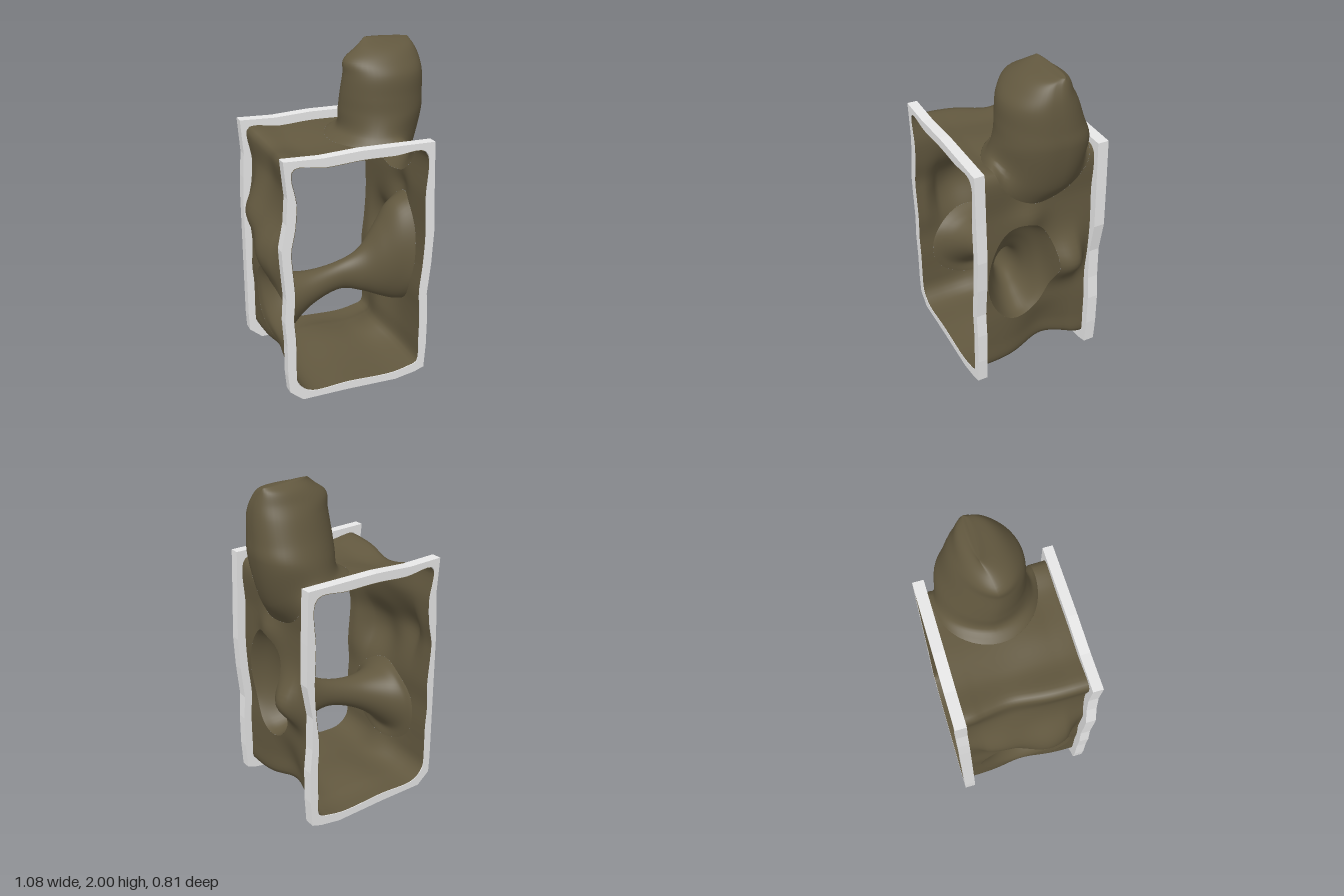
import * as THREE from 'three';

const skinMat = new THREE.MeshStandardMaterial({ color: 0x62583f, side: THREE.DoubleSide });
skinMat.name = 'olive brown skin';
const frameMat = new THREE.MeshStandardMaterial({ color: 0xebebeb });
frameMat.name = 'light grey frame';

// Wavy frame outline, counter-clockwise from the bottom right corner
const OUTLINE = [
  [0.41, 0.04], [0.42, 0.2], [0.42, 0.4], [0.41, 0.55], [0.43, 0.75], [0.44, 0.95], [0.43, 1.2], [0.42, 1.5],
  [0.2, 1.505], [-0.02, 1.51], [-0.25, 1.5], [-0.47, 1.51],
  [-0.45, 1.3], [-0.46, 1.15], [-0.49, 1.0], [-0.485, 0.9], [-0.47, 0.7], [-0.48, 0.55], [-0.47, 0.4], [-0.47, 0.2],
  [-0.46, 0.09], [-0.38, 0.02], [-0.1, 0.015], [0.22, 0.0], [0.35, 0.02],
];
const inset = (pts, d) => pts.map(([x, y]) => [
  (x + 0.025) * (1 - d / 0.45) - 0.025, 0.755 + (y - 0.755) * (1 - d / 0.75),
]);

// Soft pushes on the wall: centre x, y, z, push x, y, radius
const PUSHES = [
  [-0.45, 1.02, -0.17, -0.065, 0, 0.16],
  [-0.45, 0.86, 0.13, -0.115, 0, 0.2],
  [0.39, 0.76, -0.19, 0.12, 0, 0.14],
  [0.39, 1.12, 0.06, 0.04, 0, 0.1],
  [0.38, 0.3, -0.05, -0.03, 0, 0.14],
  [-0.42, 1.43, -0.08, 0.04, -0.04, 0.17],
  [0.37, 0.1, -0.08, -0.05, 0.05, 0.17],
  [-0.43, 0.1, 0.0, 0.03, 0.02, 0.15],
  [0.0, 0.08, -0.1, 0, 0.03, 0.22],
  [-0.2, 1.44, 0.05, 0, -0.025, 0.2],
  [0.15, 1.45, 0.27, 0, -0.02, 0.2],
];

const toCurve = (pts) => {
  const curve = new THREE.CatmullRomCurve3(pts.map(([x, y]) => new THREE.Vector3(x, y, 0)), true, 'centripetal');
  curve.arcLengthDivisions = 600;
  return curve;
};
const loop = toCurve(inset(OUTLINE, 0.055));

// Point of the tunnel wall at u around the section and depth z
function wallPoint(u, z) {
  const base = loop.getPointAt(((u % 1) + 1) % 1);
  const p = new THREE.Vector3(base.x, base.y, z);
  const hold = THREE.MathUtils.clamp((0.34 - Math.abs(z)) / 0.1, 0, 1);
  for (const [x, y, pz, dx, dy, r] of PUSHES) {
    const d2 = (base.x - x) ** 2 + (base.y - y) ** 2 + (z - pz) ** 2;
    const k = Math.exp(-d2 / (r * r)) * hold;
    p.x += dx * k;
    p.y += dy * k;
  }
  return p;
}

// Position around the section closest to (x, y)
function findU(x, y) {
  let best = 0, min = Infinity;
  for (let i = 0; i < 500; i++) {
    const p = loop.getPointAt(i / 500);
    const d = (p.x - x) ** 2 + (p.y - y) ** 2;
    if (d < min) { min = d; best = i / 500; }
  }
  return best;
}

// Elliptical mouth in the wall between two section points
function mouth(from, to, z, rz) {
  const a = findU(...from), b = findU(...to);
  return { u: (a + b) / 2, ru: (b - a) / 2, z, rz };
}
const rightMouth = mouth([0.37, 0.39], [0.38, 1.09], 0.1, 0.21);
const chimneyMouth = mouth([0.38, 1.2], [-0.04, 1.45], -0.035, 0.3);
const leftMouth = mouth([-0.43, 0.7], [-0.42, 0.18], 0.02, 0.3);
const MOUTHS = [rightMouth, chimneyMouth, leftMouth];

const SIDES = 48;
const mouthRing = (m, flip = 1) => Array.from({ length: SIDES }, (_, i) => {
  const a = (i / SIDES) * Math.PI * 2;
  return wallPoint(m.u + flip * m.ru * Math.cos(a), m.z + m.rz * Math.sin(a));
});

function indexed(points, index) {
  const g = new THREE.BufferGeometry().setFromPoints(points);
  g.setIndex(index);
  g.computeVertexNormals();
  return g;
}

// Tunnel wall grid, with vertices inside a mouth snapped to its rim
function tunnelWall() {
  const nu = 144, nz = 40, pts = [], owner = [], index = [];
  for (let j = 0; j <= nz; j++) for (let i = 0; i < nu; i++) {
    let u = i / nu, z = -0.406 + (0.811 * j) / nz, own = -1;
    MOUTHS.forEach((m, k) => {
      const du = (u - m.u) / m.ru, dz = (z - m.z) / m.rz, r = Math.hypot(du, dz);
      if (r < 1 && own < 0) {
        const s = 1 / Math.max(r, 1e-4);
        u = m.u + du * s * m.ru;
        z = m.z + dz * s * m.rz;
        own = k;
      }
    });
    pts.push(wallPoint(u, z));
    owner.push(own);
  }
  for (let j = 0; j < nz; j++) for (let i = 0; i < nu; i++) {
    const a = j * nu + i, b = j * nu + ((i + 1) % nu), c = a + nu, d = b + nu;
    for (const t of [[a, b, d], [a, d, c]]) {
      if (!t.every((v) => owner[v] >= 0)) index.push(...t);
    }
  }
  return indexed(pts, index);
}

// Smooth skin through a few rings, subdivided along splines
function loft(rings, steps, capEnd) {
  const curves = Array.from({ length: SIDES }, (_, i) =>
    new THREE.CatmullRomCurve3(rings.map((r) => r[i]), false, 'centripetal'));
  const pts = [], index = [];
  for (let j = 0; j <= steps; j++) for (const c of curves) pts.push(c.getPoint(j / steps));
  for (let j = 0; j < steps; j++) for (let i = 0; i < SIDES; i++) {
    const n = (i + 1) % SIDES, a = j * SIDES + i, b = j * SIDES + n;
    index.push(a, b, b + SIDES, a, b + SIDES, a + SIDES);
  }
  if (capEnd) {
    const s = steps * SIDES;
    for (let i = 1; i < SIDES - 1; i++) index.push(s, s + i, s + i + 1);
  }
  return indexed(pts, index);
}

const ring = (fn) => Array.from({ length: SIDES }, (_, i) => {
  const a = (i / SIDES) * Math.PI * 2;
  return new THREE.Vector3(...fn(Math.cos(a), Math.sin(a)));
});

// Hollow cross tube: x, lowest y, highest y, centre z, half width in z
function crossTube() {
  const sections = [
    [0.31, 0.4, 1.03, 0.1, 0.175], [0.23, 0.43, 0.9, 0.09, 0.135], [0.13, 0.47, 0.75, 0.07, 0.09],
    [0.0, 0.5, 0.68, 0.05, 0.065], [-0.2, 0.43, 0.645, 0.04, 0.1], [-0.34, 0.325, 0.655, 0.03, 0.18],
    [-0.4, 0.255, 0.67, 0.025, 0.25],
  ].map(([x, lo, hi, z, rz]) =>
    ring((c, s) => [x, (lo + hi) / 2 + ((hi - lo) / 2) * c, z + rz * s]));
  return loft([mouthRing(rightMouth), ...sections, mouthRing(leftMouth, -1)], 48, false);
}

// Closed chimney with a flared foot: y, centre x, half width x, centre z, half width z
function chimney() {
  const foot = ring((c, s) => [
    0.25 - 0.22 * c - 0.04 * Math.min(0, s), 1.495 - 0.165 * Math.max(0, -c) ** 2, -0.045 + 0.268 * s]);
  const sections = [
    [1.6, 0.285, 0.25, -0.045, 0.245], [1.7, 0.285, 0.247, -0.03, 0.222], [1.82, 0.285, 0.238, -0.015, 0.195],
    [1.89, 0.28, 0.23, -0.02, 0.155], [1.955, 0.31, 0.175, -0.04, 0.1], [1.99, 0.335, 0.135, -0.07, 0.02],
  ].map(([y, x, rx, z, rz]) => ring((c, s) => [
    x - rx * c - 0.05 * Math.min(0, s), y + (y > 1.98 ? 0.01 * c : 0), z + rz * s]));
  return loft([mouthRing(chimneyMouth), foot, ...sections], 42, true);
}

// Flat-sided end frame, its opening fitted just around the tunnel wall
function endFrame(points, depth) {
  const v2 = (list) => list.map(([x, y]) => new THREE.Vector2(x, y));
  const shape = new THREE.Shape(v2(points));
  const opening = toCurve(inset(OUTLINE, 0.052)).getSpacedPoints(144).slice(0, 144);
  shape.holes.push(new THREE.Path(opening.map((p) => new THREE.Vector2(p.x, p.y)).reverse()));
  return new THREE.ExtrudeGeometry(shape, { depth, bevelEnabled: false });
}

export function createModel() {
  const group = new THREE.Group();
  const add = (name, geometry, material, z = 0) => {
    const mesh = new THREE.Mesh(geometry, material);
    mesh.name = name;
    mesh.position.z = z;
    group.add(mesh);
  };
  add('tunnelWall', tunnelWall(), skinMat);
  add('crossTube', crossTube(), skinMat);
  add('chimney', chimney(), skinMat);
  add('frontFrame', endFrame(OUTLINE, 0.06), frameMat, 0.346);
  // The back frame is pinched on its right side
  const back = OUTLINE.map(([x, y]) => [x > 0.4 ? x - 0.03 * Math.exp(-(((y - 0.75) / 0.15) ** 2)) : Math.max(x, -0.465), y]);
  add('backFrame', endFrame(back, 0.066), frameMat, -0.407);
  return group;
}
